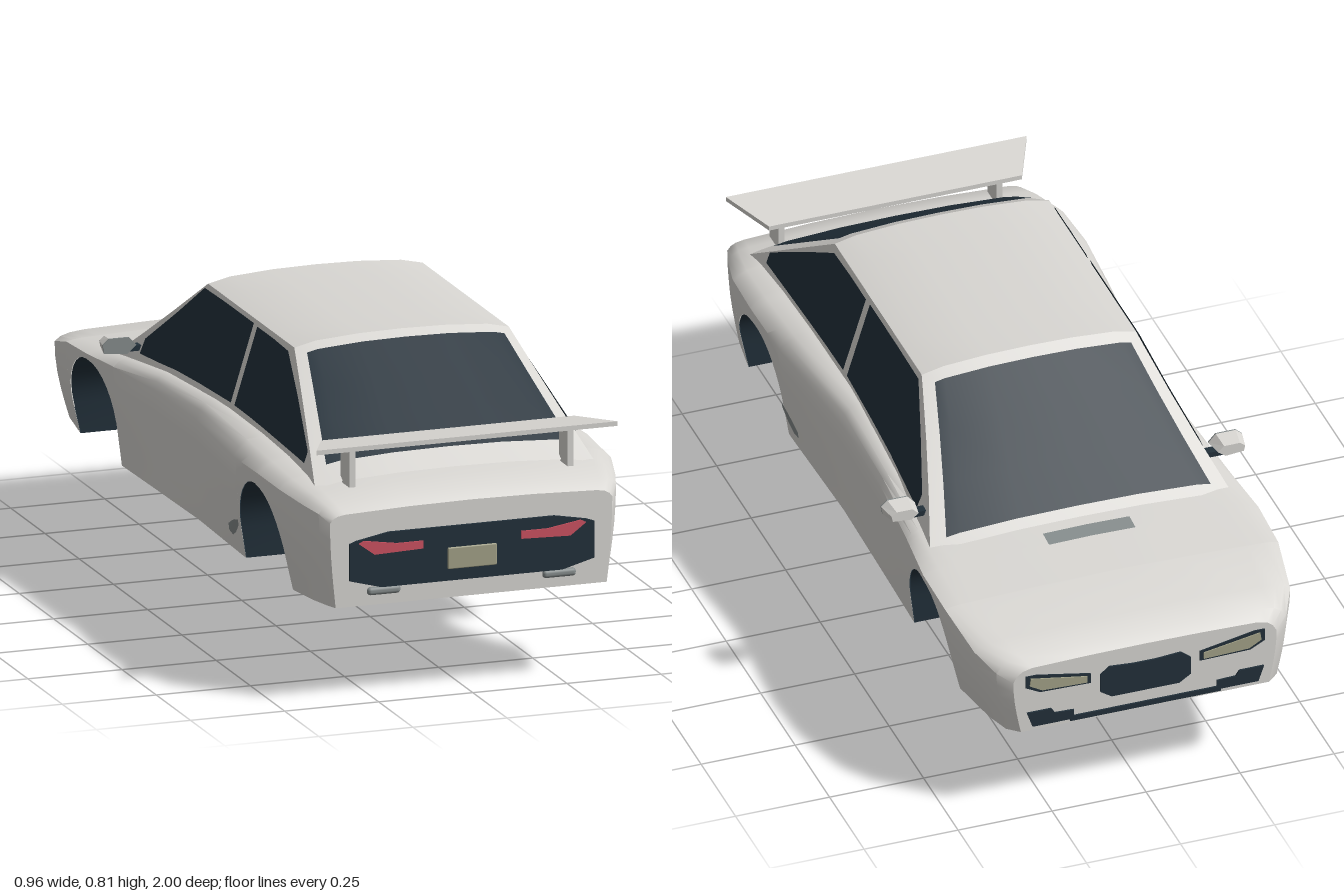
import * as THREE from 'three';
import { toCreasedNormals } from 'three/addons/utils/BufferGeometryUtils.js';
import { RoundedBoxGeometry } from 'three/addons/geometries/RoundedBoxGeometry.js';

const material = (name, color) => {
  const m = new THREE.MeshStandardMaterial({ color, side: THREE.DoubleSide });
  m.name = name;
  return m;
};
const lerp = THREE.MathUtils.lerp;

// Piecewise linear lookup in a table whose first column is z
function lookup(table, z) {
  let i = 0;
  while (i < table.length - 2 && z > table[i + 1][0]) i++;
  const t = (z - table[i][0]) / (table[i + 1][0] - table[i][0]);
  return table[i].map((v, k) => lerp(v, table[i + 1][k], t));
}

// Surface through rows of points
function grid(rows, crease = 0.6) {
  const n = rows[0].length, index = [];
  for (let i = 0; i < rows.length - 1; i++) for (let j = 0; j < n - 1; j++) {
    const a = i * n + j, c = a + n;
    index.push(a, a + 1, c, a + 1, c + 1, c);
  }
  const g = new THREE.BufferGeometry();
  g.setAttribute('position', new THREE.Float32BufferAttribute(rows.flat(2), 3));
  g.setIndex(index);
  return toCreasedNormals(g, crease);
}

// Lower body: z, half width, bottom half width, shoulder y, deck x, deck y, centre y
const STATIONS = [
  [-0.992, .35, .33, .40, .30, .435, .44], [-0.965, .385, .36, .42, .32, .455, .46],
  [-0.90, .42, .38, .452, .34, .475, .482], [-0.75, .443, .405, .492, .36, .50, .508],
  [-0.60, .446, .41, .502, .36, .515, .522], [-0.45, .432, .41, .507, .37, .53, .535],
  [-0.20, .412, .405, .51, .375, .55, .56], [0.10, .408, .40, .51, .36, .56, .57],
  [0.45, .437, .41, .51, .365, .56, .57], [0.65, .446, .41, .52, .37, .555, .565],
  [0.80, .44, .40, .515, .37, .545, .557], [0.90, .415, .385, .50, .36, .53, .543],
  [0.96, .395, .37, .49, .35, .513, .525], [0.988, .375, .36, .47, .335, .49, .498]];
const FLOOR = 0.25, ARCH_R = 0.158, ARCH_Y = 0.33, ARCHES = [-0.595, 0.63], WELL_X = 0.27;

const inArch = z => ARCHES.find(c => Math.abs(z - c) < ARCH_R + 0.0002);
function bottomY(z) {
  const c = inArch(z);
  return c === undefined ? FLOOR : ARCH_Y + Math.sqrt(Math.max(0, ARCH_R ** 2 - (z - c) ** 2));
}
function bodyX(y, z) {
  const [, w, wb, ys] = lookup(STATIONS, z);
  return wb + (w - wb) * Math.sin(Math.PI / 2 * Math.min(1, (y - FLOOR) / (ys - FLOOR)));
}
function bodyRow(z) {
  const [, w, , ys, dx, dy, yc] = lookup(STATIONS, z), half = [];
  for (let k = 0; k <= 5; k++) {
    const y = lerp(bottomY(z), ys, k / 5);
    half.push([bodyX(y, z), y, z]);
  }
  half.push([lerp(w, dx, .2), lerp(ys, dy, .5), z], [lerp(w, dx, .5), lerp(ys, dy, .82), z],
    [dx, dy, z], [dx / 2, lerp(dy, yc, .75), z]);
  return [...half, [0, yc, z], ...half.map(([x, y]) => [-x, y, z]).reverse()];
}

// Cabin: leaning sides, sloped ends and a gently domed top
const BASE = [[-.53, .385], [-.15, .37], [.2, .357], [.48, .36], [.87, .365]];
const EDGE = [[-.53, .51], [-.15, .785], [.48, .785], [.87, .53]];
const CROWN = [[0, .023], [.4, .021], [.8, .013], [1, 0]];
const cabinX = (y, z) => lerp(lookup(BASE, z)[1], .285, (y - .55) / .235);
function cabinTop(f, z, lift = 0) {
  const y = lookup(EDGE, z)[1];
  return [f * cabinX(y, z), y + lookup(CROWN, Math.abs(f))[1] + lift, z];
}

export function createModel() {
  const car = new THREE.Group();
  car.name = 'car';
  const paint = material('body paint', 0xd8d6d2), dark = material('dark glass and rubber', 0x22303a);
  const grey = material('grey metal', 0x868d8d), red = material('red lamp', 0xcc5261);
  const beige = material('pale lamp and plate', 0xa3a288);
  const add = (name, geometry, mat, parent = car) => {
    const m = new THREE.Mesh(geometry, mat);
    m.name = name;
    parent.add(m);
    return m;
  };
  const sides = fn => [1, -1].forEach(s => fn(s, s > 0 ? 'left' : 'right'));

  // Lower body, with extra stations around the wheel arches
  const zs = STATIONS.map(s => s[0]);
  for (const c of ARCHES) {
    zs.push(c - ARCH_R - .0006, c + ARCH_R + .0006);
    for (let k = 0; k <= 16; k++) zs.push(c - ARCH_R * Math.cos(Math.PI * k / 16));
  }
  zs.sort((a, b) => a - b);
  add('lowerBody', grid(zs.map(bodyRow)), paint);
  for (const [name, z] of [['frontPanel', zs[0]], ['rearPanel', zs[zs.length - 1]]]) {
    const row = bodyRow(z), h = (row.length + 1) / 2;
    const halves = [row.slice(0, h), row.slice(h - 1).reverse()];
    add(name, grid(z > 0 ? halves : halves.reverse()), paint);
  }
  add('underside', grid(zs.map(z => {
    const x = inArch(z) === undefined ? lookup(STATIONS, z)[2] : WELL_X;
    return [[-x, FLOOR, z], [x, FLOOR, z]];
  })), dark);

  // Wheel wells
  sides((s, side) => ARCHES.forEach(c => {
    const path = [[c - ARCH_R, FLOOR]];
    for (let k = 0; k <= 16; k++) {
      const a = Math.PI * k / 16;
      path.push([c - ARCH_R * Math.cos(a), ARCH_Y + ARCH_R * Math.sin(a)]);
    }
    path.push([c + ARCH_R, FLOOR]);
    add(side + 'WellLining', grid(path.map(([z, y]) =>
      [[s * WELL_X, y, z], [s * (bodyX(y, z) - .002), y, z]])), dark);
    add(side + 'WellWall', grid(path.map(([z, y]) =>
      [[s * WELL_X, FLOOR, z], [s * WELL_X, y, z]])), dark);
  }));

  // Cabin shell
  const cabinZ = [-.53, -.51, -.4, -.29, -.18, -.15, 0, .2, .35, .48, .51, .61, .71, .82, .87];
  const fs = [1, .8, .4, 0, -.4, -.8, -1];
  add('cabin', grid(cabinZ.map(z => {
    const y = Math.min(.53, lookup(EDGE, z)[1] - .005), x = cabinX(y, z);
    return [[x, y, z], ...fs.map(f => cabinTop(f, z)), [-x, y, z]];
  }), .45), paint);

  // Windscreen and rear window
  const glass = (name, z0, z1, f) => add(name, grid(cabinZ.filter(z => z >= z0 && z <= z1)
    .map(z => [f, .8, .4, 0, -.4, -.8, -f].map(k => cabinTop(k, z, .006)))), dark);
  glass('windscreen', -.51, -.18, .89);
  glass('rearWindow', .51, .82, .9);

  // Side windows and side vents: rows of z, low y, high y
  const frontWindow = [[-.38, .553, .59], [-.26, .56, .685], [-.15, .568, .775], [0, .573, .777], [.205, .577, .777]];
  const backWindow = [[.232, .577, .775], [.35, .577, .775], [.46, .575, .772], [.6, .572, .694], [.765, .568, .597]];
  const vent = [[.375, .298, .316], [.405, .294, .33], [.435, .308, .342], [.468, .335, .35]];
  sides((s, side) => {
    const panel = (name, rows, xAt, mat) => add(side + name, grid(rows.map(([z, a, b]) => {
      const pts = [a, (a + b) / 2, b].map(y => [s * (xAt(y, z) + .005), y, z]);
      return s > 0 ? pts : pts.reverse();
    })), mat);
    panel('FrontWindow', frontWindow, cabinX, dark);
    panel('BackWindow', backWindow, cabinX, dark);
    panel('SideVent', vent, bodyX, grey);
  });
  add('hoodVent', grid([[-.61, .526], [-.565, .531]].map(([z, y]) =>
    [[.115, y - .002, z], [0, y, z], [-.115, y - .002, z]])), grey);

  // Flat plates on the two end panels; dir +1 is the tail, -1 the nose
  const plate = (name, pts, mat, dir, z, depth = .006) => {
    const g = new THREE.ExtrudeGeometry(new THREE.Shape(pts.map(p => new THREE.Vector2(...p))),
      { depth, bevelEnabled: false });
    g.translate(0, 0, z);
    if (dir < 0) g.rotateY(Math.PI);
    return add(name, g, mat);
  };
  const flip = (pts, s) => s > 0 ? pts : pts.map(([x, y]) => [-x, y]).reverse();
  const mirrored = half => [...half, ...half.map(([x, y]) => [-x, y]).reverse()];

  // Tail
  plate('tailPanel', mirrored([[.24, .295], [.325, .318], [.325, .413], [.305, .42], [.22, .436]]), dark, 1, .987, .008);
  const numberPlate = add('numberPlate', new RoundedBoxGeometry(.13, .056, .008, 2, .003), beige);
  numberPlate.position.set(0, .353, .995);
  sides((s, side) => {
    plate(side + 'TailLamp', flip([[.13, .386], [.26, .382], [.302, .413], [.288, .42], [.2, .406], [.13, .406]], s), red, 1, .993);
    const pipe = add(side + 'Exhaust', new RoundedBoxGeometry(.088, .021, .05, 3, .009), grey);
    pipe.position.set(s * .233, .286, .973);
  });

  // Nose
  plate('grille', mirrored([[.09, .305], [.12, .325], [.12, .375], [.095, .395], [.03, .39]]), dark, -1, .991);
  plate('lowerIntake', mirrored([[.2, .256], [.2, .27]]), dark, -1, .991);
  sides((s, side) => {
    plate(side + 'HeadlampSurround', flip([[.145, .357], [.28, .36], [.318, .38], [.318, .413], [.29, .413], [.145, .385]], s), dark, -1, .990, .005);
    plate(side + 'Headlamp', flip([[.155, .362], [.275, .366], [.308, .385], [.305, .406], [.155, .38]], s), beige, -1, .992);
    plate(side + 'Intake', flip([[.19, .262], [.3, .262], [.315, .305], [.25, .305], [.24, .29], [.19, .288]], s), dark, -1, .991);
  });

  // Rear spoiler: blade tapered and dipped towards its leading edge
  const blade = new THREE.BoxGeometry(.8, .012, .14, 8, 1, 1);
  const p = blade.attributes.position;
  for (let i = 0; i < p.count; i++) {
    const lead = p.getZ(i) < 0;
    p.setX(i, p.getX(i) * (lead ? .84 : 1));
    p.setY(i, p.getY(i) + (lead ? .632 : .648));
    p.setZ(i, p.getZ(i) + .887);
  }
  blade.computeVertexNormals();
  add('spoilerBlade', blade, paint);
  sides((s, side) => {
    const strut = add(side + 'SpoilerStrut', new THREE.BoxGeometry(.016, .1, .065), paint);
    strut.position.set(s * .29, .588, .885);
  });

  // Door mirrors
  const mirrorPts = [[.39, .575], [.41, .597], [.463, .597], [.48, .582], [.476, .56], [.415, .554]];
  sides((s, side) => {
    const housing = plate(side + 'MirrorHousing', flip(mirrorPts, s), paint, 1, -.437, .05);
    const q = housing.geometry.attributes.position;
    for (let i = 0; i < q.count; i++) if (q.getZ(i) < -.42) {
      q.setX(i, lerp(q.getX(i), s * .43, .2));
      q.setY(i, lerp(q.getY(i), .576, .3));
    }
    housing.geometry.computeVertexNormals();
    plate(side + 'MirrorGlass', flip(mirrorPts, s), grey, 1, -.387, .004);
    const arm = add(side + 'MirrorArm', new THREE.BoxGeometry(.07, .014, .025), dark);
    arm.position.set(s * .383, .562, -.41);
  });

  // Single wheel under the middle of the car, its axle along x
  const wheel = new THREE.Group();
  wheel.name = 'wheel';
  wheel.position.y = .15;
  wheel.rotation.z = -Math.PI / 2;
  car.add(wheel);
  const tyre = [[.104, -.046], [.112, -.052], [.135, -.052], [.145, -.046], [.15, -.034],
    [.15, .034], [.145, .046], [.135, .052], [.112, .052], [.104, .046], [.1, .02], [.1, -.02], [.104, -.046]];
  add('tyre', toCreasedNormals(new THREE.LatheGeometry(tyre.map(t => new THREE.Vector2(...t)), 48), .7), dark, wheel);
  add('wheelDisc', new THREE.CylinderGeometry(.101, .101, .04, 40), dark, wheel);
  const rim = add('rim', new THREE.TorusGeometry(.1, .006, 8, 48), grey, wheel);
  rim.rotation.x = Math.PI / 2;
  rim.position.y = .046;
  add('hub', new THREE.CylinderGeometry(.024, .028, .03, 20), grey, wheel).position.y = .043;
  for (let k = 0; k < 5; k++) {
    const spoke = new THREE.Group();
    spoke.name = 'spoke';
    spoke.rotation.y = k * Math.PI * 2 / 5 + .3;
    wheel.add(spoke);
    sides((s, side) => {
      const bar = add(side + 'SpokeBar', new THREE.BoxGeometry(.084, .014, .009), grey, spoke);
      bar.position.set(.06, .043, s * .013);
      bar.rotation.y = -s * .1;
    });
  }
  return car;
}
